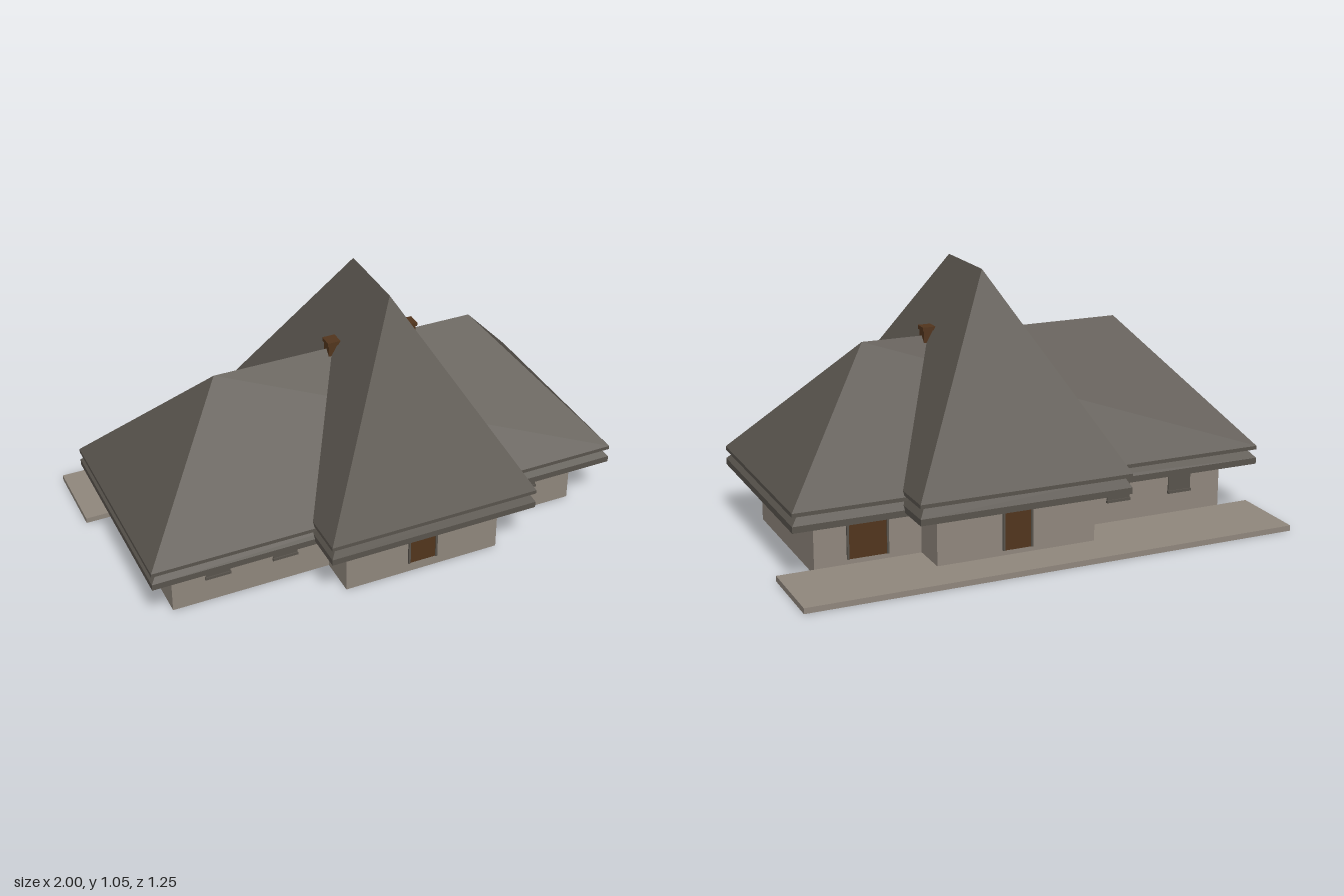
import * as THREE from 'three';
import { ConvexGeometry } from 'three/addons/geometries/ConvexGeometry.js';

const material = (name, color) => {
  const m = new THREE.MeshStandardMaterial({ color });
  m.name = name;
  return m;
};

export function createModel() {
  const stone = material('stone', 0x90877d);
  const slate = material('slate', 0x59544d);
  const wood = material('wood', 0x52351d);
  const house = new THREE.Group();
  house.name = 'house';

  const add = (parent, name, geometry, mat) => {
    const mesh = new THREE.Mesh(geometry, mat);
    mesh.name = name;
    parent.add(mesh);
    return mesh;
  };
  // Box given by its limits along each axis
  const box = (parent, name, mat, x0, x1, y0, y1, z0, z1) =>
    add(parent, name, new THREE.BoxGeometry(x1 - x0, y1 - y0, z1 - z0), mat)
      .position.set((x0 + x1) / 2, (y0 + y1) / 2, (z0 + z1) / 2);
  const group = (name) => {
    const g = new THREE.Group();
    g.name = name;
    house.add(g);
    return g;
  };

  // Walls and the rear terrace
  box(house, 'wingWalls', stone, -0.865, 0.855, 0, 0.225, -0.3, 0.352);
  box(house, 'centreWalls', stone, -0.22, 0.43, 0, 0.24, -0.455, 0.515);
  box(house, 'terrace', stone, -1, 1, 0, 0.022, -0.625, -0.3);

  // Hipped solid: vertical eave edge from y0 to y1, then sloping to a top rectangle
  const hip = (parent, name, [x0, x1, z0, z1], y0, y1, [a0, a1, b0, b1], top) => {
    const points = [];
    const corners = (p, q, r, s, y) => {
      for (const x of new Set([p, q])) for (const z of new Set([r, s])) points.push(new THREE.Vector3(x, y, z));
    };
    corners(x0, x1, z0, z1, y0);
    corners(x0, x1, z0, z1, y1);
    corners(a0, a1, b0, b1, top);
    add(parent, name, new ConvexGeometry(points), slate);
  };

  // Each roof is a full hip above a matching lower eave tier
  const roof = (name, plan, ridge, top, eave, tier, inset) => {
    const g = group(name);
    hip(g, 'upperRoof', plan, eave - 0.015, eave, ridge, top);
    const [x0, x1, z0, z1] = plan;
    hip(g, 'lowerEave', plan, tier, tier + 0.025,
      [x0 + inset, x1 - inset, z0 + inset, z1 - inset], eave - 0.015);
  };
  roof('wingRoof', [-0.972, 0.965, -0.405, 0.46], [-0.542, 0.535, 0.026, 0.026], 0.775, 0.29, 0.215, 0.032);
  roof('centreRoof', [-0.325, 0.535, -0.56, 0.62], [0.105, 0.105, -0.13, 0.19], 1.05, 0.31, 0.23, 0.024);

  // Capped chimneys where the ridges meet the centre roof
  for (const x of [-0.058, 0.268]) {
    const g = group('chimney');
    box(g, 'chimneyShaft', wood, x - 0.022, x + 0.022, 0.68, 0.798, 0.004, 0.048);
    box(g, 'chimneyCap', wood, x - 0.027, x + 0.027, 0.797, 0.812, -0.001, 0.053);
  }

  // Thin plate on a front (side 1) or back (side -1) wall
  const plate = (parent, name, mat, x, w, y0, y1, wall, side, depth) => {
    const ends = [wall, wall + side * depth].sort((a, b) => a - b);
    box(parent, name, mat, x - w / 2, x + w / 2, y0, y1, ...ends);
  };

  // Windows with a projecting sill
  const addWindow = (x, wall, side) => {
    const g = group('window');
    plate(g, 'windowPane', slate, x, 0.1, 0.108, 0.22, wall, side, 0.005);
    plate(g, 'windowSill', slate, x, 0.104, 0.105, 0.116, wall, side, 0.0095);
  };
  for (const x of [-0.68, -0.405]) {
    addWindow(x, 0.352, 1);
    addWindow(x, -0.3, -1);
  }
  addWindow(0.645, 0.352, 1);

  // Doors: wooden leaf between slate jambs
  const addDoor = (x, w, top, wall, side) => {
    const g = group('door');
    plate(g, 'doorLeaf', wood, x, w - 0.016, 0.042, top, wall, side, 0.004);
    for (const s of [-1, 1]) {
      plate(g, 'doorJamb', slate, x + s * (w / 2 - 0.004), 0.008, 0.042, top, wall, side, 0.008);
    }
  };
  addDoor(0.104, 0.124, 0.235, 0.515, 1);
  addDoor(0.104, 0.124, 0.235, -0.455, -1);
  addDoor(0.645, 0.165, 0.22, -0.3, -1);

  return house;
}
